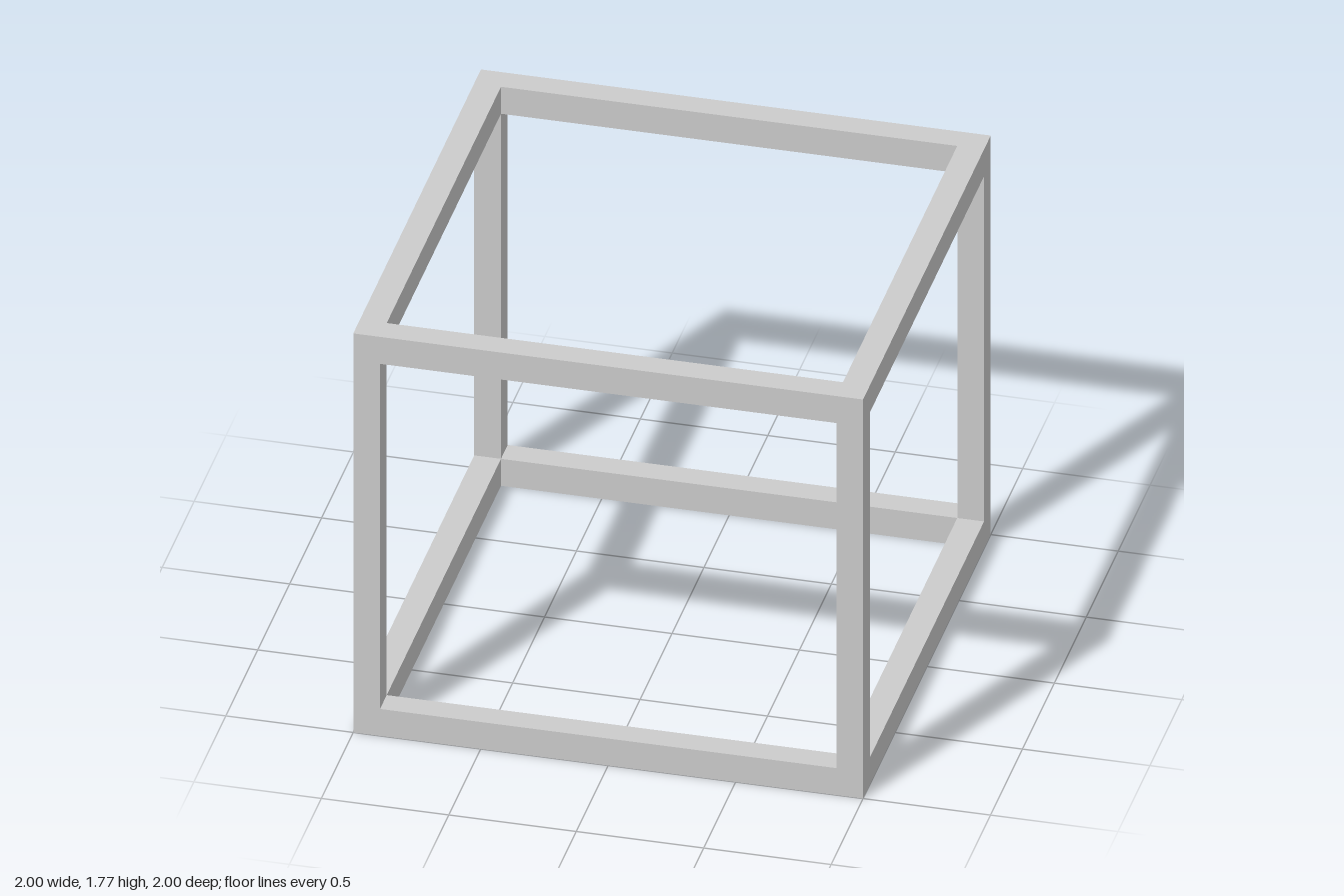
import * as THREE from 'three';

const SIZE = 2, HEIGHT = 1.775, BAR = 0.105, RAIL = 0.12;

function square(path, half) {
  path.moveTo(-half, -half);
  path.lineTo(half, -half);
  path.lineTo(half, half);
  path.lineTo(-half, half);
  path.closePath();
  return path;
}

export function createModel() {
  const group = new THREE.Group();
  group.name = 'openBoxFrame';
  const material = new THREE.MeshStandardMaterial({ color: 0xcccccc });
  const half = SIZE / 2;

  // Square rings at the bottom and the top
  const outline = square(new THREE.Shape(), half);
  outline.holes.push(square(new THREE.Path(), half - BAR));
  const ringGeometry = new THREE.ExtrudeGeometry(outline, { depth: RAIL, bevelEnabled: false });
  ringGeometry.rotateX(-Math.PI / 2);
  for (const [name, y] of [['bottomRing', 0], ['topRing', HEIGHT - RAIL]]) {
    const ring = new THREE.Mesh(ringGeometry, material);
    ring.name = name;
    ring.position.y = y;
    group.add(ring);
  }

  // Four corner posts between the rings
  const postGeometry = new THREE.BoxGeometry(BAR, HEIGHT - 2 * RAIL, BAR);
  const offset = half - BAR / 2;
  for (const [side, x] of [['Left', offset], ['Right', -offset]]) {
    for (const [end, z] of [['front', offset], ['back', -offset]]) {
      const post = new THREE.Mesh(postGeometry, material);
      post.name = `${end}${side}Post`;
      post.position.set(x, HEIGHT / 2, z);
      group.add(post);
    }
  }
  return group;
}
